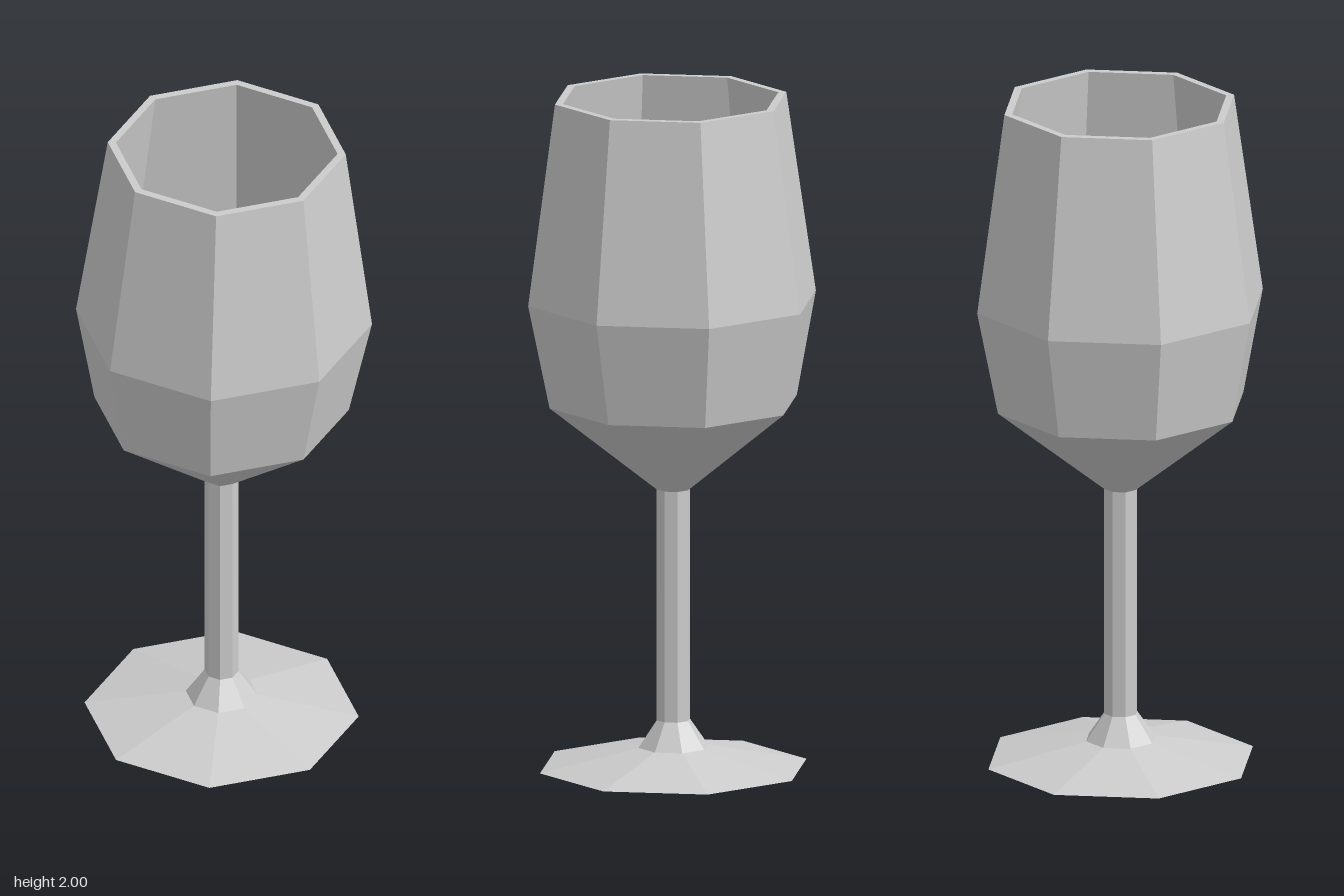
import * as THREE from 'three';

const SIDES = 8;

// Eight-sided turned part from rings of [radius, height, sideways shift], with flat facets
function turned(name, rings, material) {
  const lathe = new THREE.LatheGeometry(rings.map(([r, y]) => new THREE.Vector2(r, y)), SIDES);
  const pos = lathe.attributes.position;
  for (let i = 0; i < pos.count; i++) pos.setX(i, pos.getX(i) + rings[i % rings.length][2]);
  const geometry = lathe.toNonIndexed();
  geometry.computeVertexNormals();
  const mesh = new THREE.Mesh(geometry, material);
  mesh.name = name;
  return mesh;
}

export function createModel() {
  const glass = new THREE.MeshStandardMaterial({ color: 0xcccccc });
  glass.name = 'pale grey glass';

  const group = new THREE.Group();
  group.name = 'wineGlass';
  const low = -0.007; // foot, stem and bowl bottom sit slightly to one side
  const high = 0.008; // the rim leans to the other

  group.add(
    // Closed underside, shallow foot and flared collar
    turned('foot', [[0, 0, low], [0.402, 0, low], [0.105, 0.06, low], [0.05, 0.14, low]], glass),
    turned('stem', [[0.05, 0.14, low], [0.05, 0.83, low]], glass),
    // Outer wall up to the rim, then the inner wall down to a small flat floor
    turned('bowl', [
      [0.05, 0.83, low], [0.373, 1.09, low], [0.434, 1.4, 0], [0.349, 2, high],
      [0.325, 2, high], [0.41, 1.4, 0], [0.352, 1.105, low], [0.048, 0.86, low], [0, 0.86, low],
    ], glass),
  );
  return group;
}
